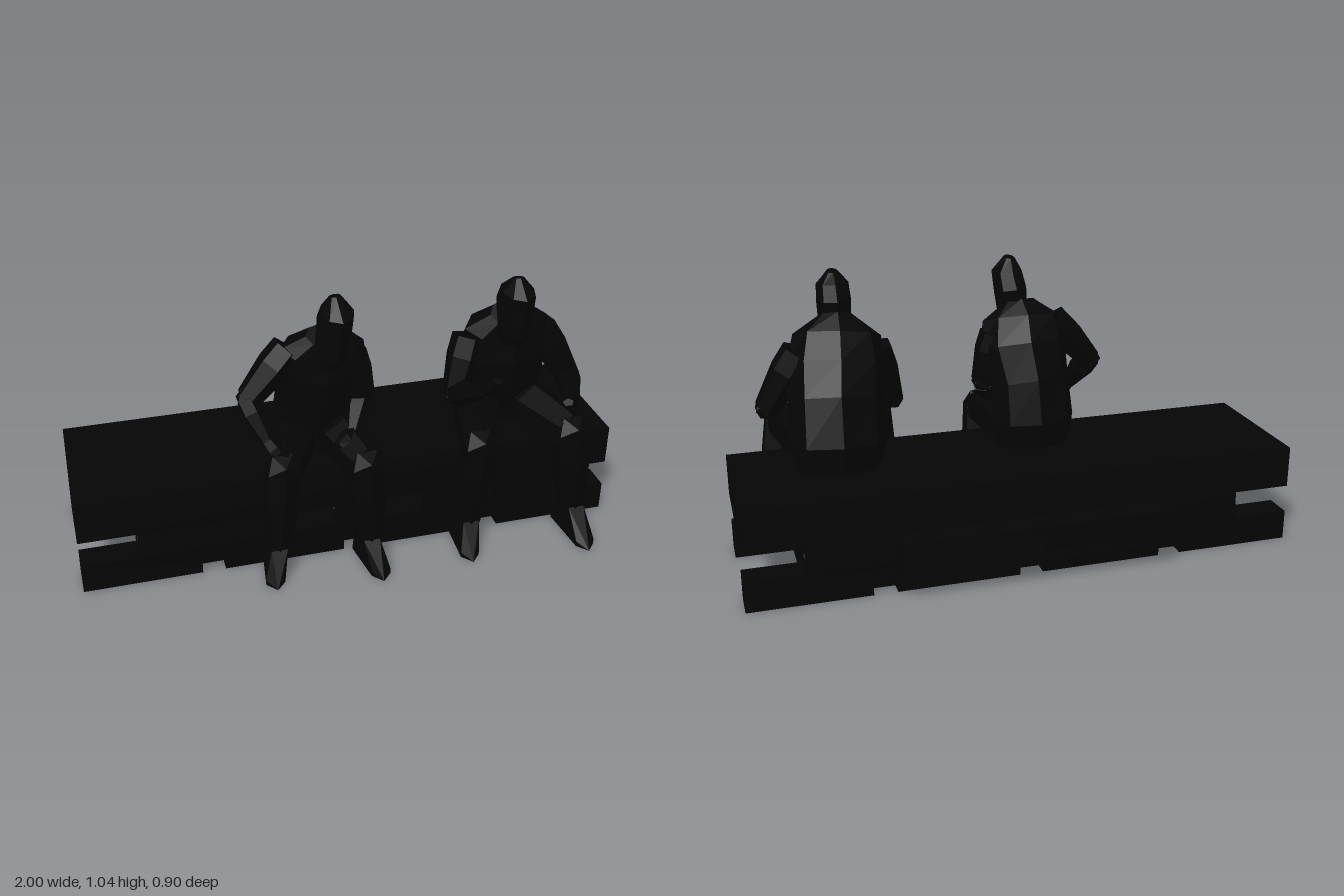
import * as THREE from 'three';
import { ConvexGeometry } from 'three/addons/geometries/ConvexGeometry.js';

const material = new THREE.MeshStandardMaterial({ color: 0x050505, flatShading: true });
const V = (x, y, z) => new THREE.Vector3(x, y, z);

function add(parent, name, geometry) {
  const mesh = new THREE.Mesh(geometry, material);
  mesh.name = name;
  parent.add(mesh);
  return mesh;
}

function box(parent, name, x0, x1, y0, y1, z0, z1) {
  const g = new THREE.BoxGeometry(x1 - x0, y1 - y0, z1 - z0);
  g.translate((x0 + x1) / 2, (y0 + y1) / 2, (z0 + z1) / 2);
  return add(parent, name, g);
}

const rect = (a0, a1, y0, y1) => [[a0, y0], [a1, y0], [a1, y1], [a0, y1]].map(p => new THREE.Vector2(...p));

// Rectangular plate with round holes and optional windows, drawn in a vertical plane
function plate(a0, a1, y0, y1, holes, radius, depth, windows = []) {
  const s = new THREE.Shape(rect(a0, a1, y0, y1));
  for (const [a, y] of holes) s.holes.push(new THREE.Path().absarc(a, y, radius, 0, Math.PI * 2, true));
  for (const w of windows) s.holes.push(new THREE.Path(rect(...w)));
  return new THREE.ExtrudeGeometry(s, { depth, bevelEnabled: false, curveSegments: 8 });
}

// Plate facing sideways, centred on x
const sidePlate = (x, z0, z1, y0, y1, holes, depth) =>
  plate(z0, z1, y0, y1, holes, 0.02, depth).rotateY(-Math.PI / 2).translate(x + depth / 2, 0, 0);

// Faceted loft: each section is [x, y, z, halfWidth, halfDepth], square to the path
function loft(sections, sides = 7) {
  const pts = sections.map(s => V(s[0], s[1], s[2]));
  const pos = [], index = [], n = pts.length;
  sections.forEach((s, i) => {
    const t = pts[Math.min(i + 1, n - 1)].clone().sub(pts[Math.max(i - 1, 0)]).normalize();
    const side = V(1, 0, 0).addScaledVector(t, -t.x).normalize();
    const up = t.clone().cross(side);
    for (let j = 0; j < sides; j++) {
      const a = (j / sides) * Math.PI * 2 + Math.PI / 2;
      const p = pts[i].clone().addScaledVector(side, s[3] * Math.cos(a)).addScaledVector(up, s[4] * Math.sin(a));
      pos.push(p.x, p.y, p.z);
    }
  });
  for (let i = 0; i < n - 1; i++) for (let j = 0; j < sides; j++) {
    const k = (j + 1) % sides, a = i * sides + j, b = i * sides + k;
    index.push(a, b, b + sides, a, b + sides, a + sides);
  }
  const last = (n - 1) * sides;
  for (let j = 1; j < sides - 1; j++) index.push(0, j + 1, j, last, last + j, last + j + 1);
  const g = new THREE.BufferGeometry();
  g.setAttribute('position', new THREE.Float32BufferAttribute(pos, 3));
  g.setIndex(index);
  g.computeVertexNormals();
  return g;
}

// Limb segment with a thicker middle
function limb(parent, name, a, b, r0, r1) {
  const m = a.map((v, i) => v + (b[i] - v) * 0.35), r = Math.max(r0, r1) * 1.04;
  add(parent, name, loft([[...a, r0, r0], [...m, r, r], [...b, r1, r1]], 6));
}

function createBench() {
  const bench = new THREE.Group();
  bench.name = 'bench';
  const joints = [-0.53, 0, 0.525];
  const lowHoles = [[0.145, 0.16], [-0.065, 0.16], [-0.275, 0.16]];

  add(bench, 'seatSlab', sidePlate(0, -0.33, 0.2, 0.213, 0.365, [[-0.065, 0.265]], 2));

  // Hollow middle layer: pierced front and back panels with cross ribs
  for (const [name, z, windows] of [
    ['frontPanel', 0.17, [[-0.27, -0.07, 0.12, 0.2], [0.07, 0.27, 0.12, 0.2]]], ['backPanel', -0.33, []]])
    add(bench, name, plate(-0.79, 0.79, 0.108, 0.214, joints.map(x => [x, 0.16]), 0.018, 0.03, windows).translate(0, 0, z));
  for (const x of [-0.775, -0.62, -0.44, -0.05, 0.05, 0.44, 0.62, 0.775])
    add(bench, 'crossRib', sidePlate(x, -0.305, 0.175, 0.108, 0.214, lowHoles, 0.03));

  // Lower rails: a shorter inner beam, a full-length outer beam and a strip notched at the joints
  const notched = new THREE.Shape();
  notched.moveTo(-1, 0.11).lineTo(-1, 0);
  for (const x of joints)
    notched.lineTo(x - 0.042, 0).lineTo(x - 0.042, 0.045).lineTo(x + 0.042, 0.045).lineTo(x + 0.042, 0);
  notched.lineTo(1, 0).lineTo(1, 0.11);
  for (const [inner, middle, outer] of [[-0.01, 0.095, 0.15], [-0.225, -0.28, -0.33]]) {
    box(bench, 'innerRail', -0.79, 0.79, 0, 0.11, inner, inner + 0.105);
    box(bench, 'outerRail', -1, 1, 0, 0.11, middle, middle + 0.055);
    add(bench, 'notchedRail', new THREE.ExtrudeGeometry(notched, { depth: 0.05, bevelEnabled: false }).translate(0, 0, outer));
  }

  // Rear ledge with a small raised lip
  add(bench, 'rearLedge', plate(-0.49, 0.49, 0.108, 0.22, [[0, 0.16]], 0.018, 0.105).translate(0, 0, -0.434));
  box(bench, 'ledgeLip', -0.49, 0.49, 0.212, 0.235, -0.45, -0.432);
  return bench;
}

function createFigure(name, f) {
  const figure = new THREE.Group();
  figure.name = name;
  add(figure, 'torso', loft(f.torso, 8));

  // Head bowed forward, sloping at the back
  const [hx, lean] = f.head;
  add(figure, 'head', loft([
    [hx - lean, 0.785, 0.155, 0.05, 0.055], [hx - lean / 2, 0.82, 0.165, 0.058, 0.072],
    [hx, 0.92, 0.165, 0.062, 0.09], [hx + lean / 4, 0.98, 0.185, 0.058, 0.08],
    [hx, f.top, 0.175, 0.02, 0.022]], 8));

  for (const { hip, knee, ankle, toe } of f.legs) {
    limb(figure, 'thigh', hip, knee, 0.085, 0.068);
    add(figure, 'knee', new THREE.IcosahedronGeometry(0.068, 0).translate(...knee));
    limb(figure, 'shin', knee, ankle, 0.066, 0.052);
    const [x, , z] = ankle;
    add(figure, 'foot', new ConvexGeometry([
      V(x - 0.04, 0, z - 0.07), V(x + 0.04, 0, z - 0.07), V(x - 0.035, 0.13, z - 0.05),
      V(x + 0.035, 0.13, z - 0.05), V(x - 0.03, 0.12, z + 0.05), V(x + 0.03, 0.12, z + 0.05),
      V(toe[0] - 0.035, 0.02, toe[1] - 0.04), V(toe[0] + 0.035, 0.02, toe[1] - 0.04),
      V(toe[0] - 0.035, 0, toe[1] - 0.04), V(toe[0] + 0.035, 0, toe[1] - 0.04), V(toe[0], 0, toe[1])]));
  }
  for (const { shoulder, elbow, wrist, hand } of f.arms) {
    limb(figure, 'upperArm', shoulder, elbow, 0.062, 0.046);
    add(figure, 'elbow', new THREE.IcosahedronGeometry(0.046, 0).translate(...elbow));
    limb(figure, 'forearm', elbow, wrist, 0.045, 0.026);
    add(figure, 'hand', loft([[...wrist, 0.025, 0.025],
      [...wrist.map((v, i) => (v + hand[i]) / 2), 0.03, 0.03], [...hand, 0.02, 0.014]], 5));
  }
  return figure;
}

export function createModel() {
  const model = new THREE.Group();
  model.name = 'benchWithSeatedFigures';
  model.add(createBench());

  model.add(createFigure('restingFigure', {
    torso: [[-0.11, 0.365, 0.02, 0.14, 0.09], [-0.11, 0.46, 0.005, 0.155, 0.105], [-0.105, 0.6, 0.035, 0.15, 0.11],
      [-0.09, 0.73, 0.075, 0.165, 0.11], [-0.095, 0.82, 0.1, 0.15, 0.08], [-0.09, 0.87, 0.13, 0.07, 0.05]],
    head: [-0.068, 0.025], top: 1.035,
    legs: [
      { hip: [-0.18, 0.44, 0.03], knee: [-0.275, 0.43, 0.25], ankle: [-0.305, 0.1, 0.25], toe: [-0.33, 0.37] },
      { hip: [-0.04, 0.44, 0.03], knee: [0.015, 0.43, 0.3], ankle: [0.03, 0.1, 0.275], toe: [0.05, 0.42] }],
    arms: [
      { shoulder: [-0.21, 0.81, 0.08], elbow: [-0.36, 0.645, 0.1], wrist: [-0.31, 0.52, 0.19], hand: [-0.27, 0.47, 0.24] },
      { shoulder: [0.01, 0.775, 0.08], elbow: [0.055, 0.59, 0.1], wrist: [0.0, 0.5, 0.18], hand: [-0.07, 0.48, 0.23] }],
  }));

  model.add(createFigure('talkingFigure', {
    torso: [[0.62, 0.365, -0.03, 0.15, 0.09], [0.62, 0.46, -0.045, 0.175, 0.12], [0.615, 0.6, 0.01, 0.17, 0.14],
      [0.6, 0.72, 0.06, 0.175, 0.12], [0.59, 0.815, 0.09, 0.155, 0.085], [0.585, 0.87, 0.125, 0.07, 0.055]],
    head: [0.585, 0], top: 1.025,
    legs: [
      { hip: [0.53, 0.45, -0.01], knee: [0.43, 0.45, 0.305], ankle: [0.415, 0.1, 0.265], toe: [0.4, 0.4] },
      { hip: [0.69, 0.45, -0.01], knee: [0.785, 0.45, 0.305], ankle: [0.83, 0.1, 0.28], toe: [0.84, 0.45] }],
    arms: [
      { shoulder: [0.46, 0.765, 0.07], elbow: [0.4, 0.555, 0.11], wrist: [0.44, 0.66, 0.29], hand: [0.46, 0.73, 0.35] },
      { shoulder: [0.73, 0.77, 0.07], elbow: [0.85, 0.565, 0.1], wrist: [0.77, 0.59, 0.32], hand: [0.71, 0.635, 0.4] }],
  }));
  return model;
}
